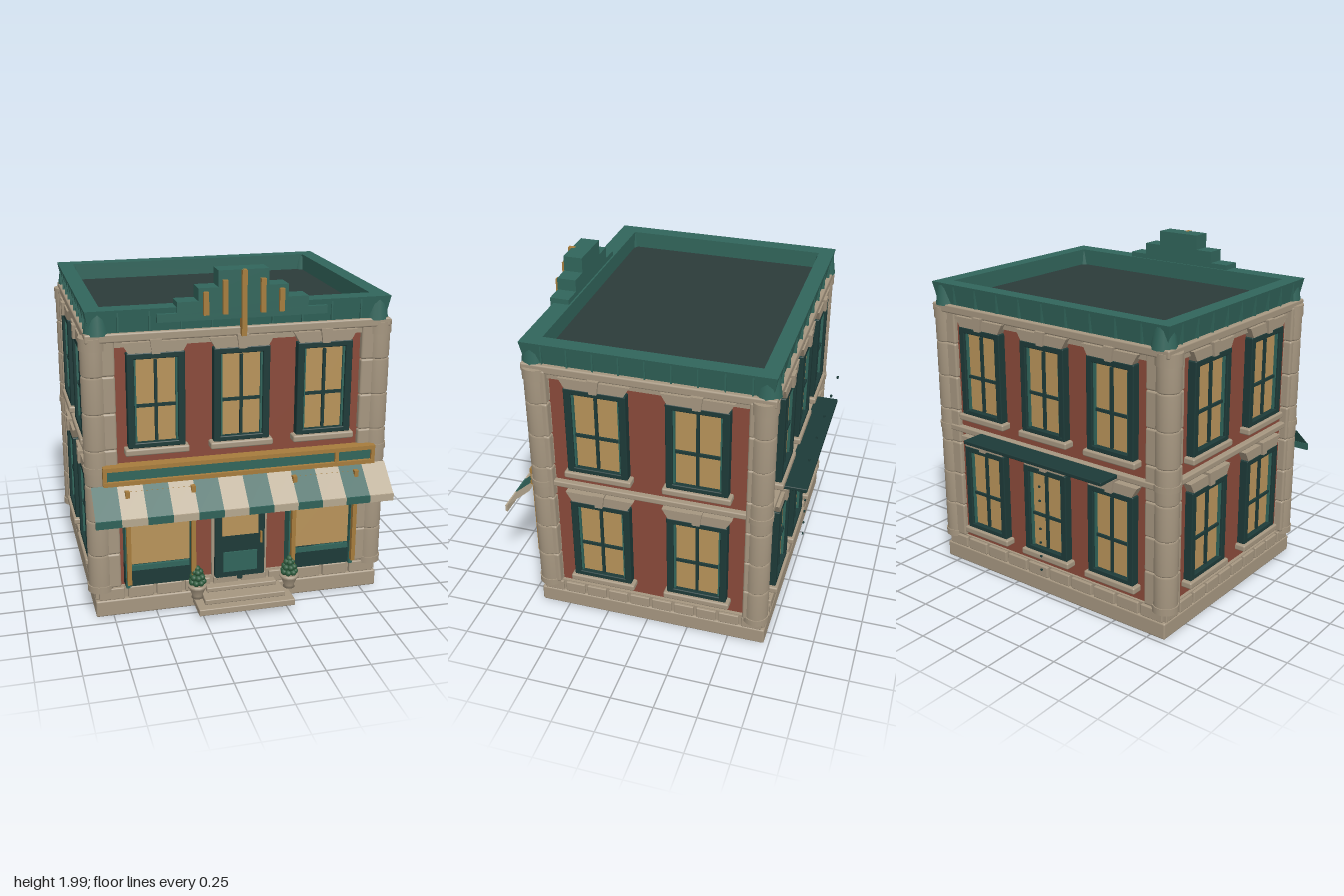
import * as THREE from 'three';
import { RoundedBoxGeometry } from 'three/addons/geometries/RoundedBoxGeometry.js';

const mat = (color, side = THREE.FrontSide) => new THREE.MeshStandardMaterial({ color, side });
const STONE = mat(0xa59680), BRICK = mat(0x8a4a3a), TEAL = mat(0x31655b), DARK = mat(0x1d3a38);
const GLASS = mat(0xb8935a), GOLD = mat(0xa67c3c), ROOF = mat(0x2b3b39), LEAF = mat(0x2c5a3c);

function add(parent, name, geometry, material, x = 0, y = 0, z = 0) {
  const mesh = new THREE.Mesh(geometry, material);
  mesh.name = name;
  mesh.position.set(x, y, z);
  parent.add(mesh);
  return mesh;
}

// Box given by its limits; r rounds the edges
function box(parent, name, m, x0, x1, y0, y1, z0, z1, r = 0) {
  const s = [x1 - x0, y1 - y0, z1 - z0];
  const g = r ? new RoundedBoxGeometry(...s, 2, r) : new THREE.BoxGeometry(...s);
  return add(parent, name, g, m, (x0 + x1) / 2, (y0 + y1) / 2, (z0 + z1) / 2);
}

function group(parent, name, x = 0, y = 0, z = 0, turn = 0) {
  const g = new THREE.Group();
  g.name = name;
  g.position.set(x, y, z);
  g.rotation.y = turn;
  parent.add(g);
  return g;
}

// Window facing +z, standing on its sill at the wall plane
function sashWindow(parent, x, y, z, turn, w) {
  const g = group(parent, 'window', x, y, z, turn), h = 0.54, a = w / 2;
  for (const s of [-1, 1]) {
    const c = s * (a - 0.02);
    box(g, 'windowJamb', DARK, c - 0.02, c + 0.02, 0, h, -0.01, 0.05, 0.006);
    const i = s * (a - 0.045);
    box(g, 'innerJamb', TEAL, i - 0.006, i + 0.006, 0.03, h - 0.03, 0, 0.035);
  }
  box(g, 'windowHead', DARK, -a, a, h - 0.035, h, -0.01, 0.05, 0.006);
  box(g, 'windowFoot', DARK, -a, a, 0, 0.03, -0.01, 0.05, 0.006);
  box(g, 'windowGlass', GLASS, -a + 0.02, a - 0.02, 0.02, h - 0.02, -0.01, 0.02);
  box(g, 'mullion', DARK, -0.008, 0.008, 0.035, h - 0.045, 0.015, 0.035);
  box(g, 'transom', DARK, -a + 0.04, a - 0.04, 0.23, 0.247, 0.015, 0.033);
  box(g, 'windowSill', STONE, -a - 0.02, a + 0.02, -0.04, 0, -0.01, 0.065, 0.01);
  // Splayed lintel
  const b = a - 0.01, t = a + 0.025;
  const shape = new THREE.Shape([[-b, h], [b, h], [t, h + 0.06], [-t, h + 0.06]].map(p => new THREE.Vector2(...p)));
  add(g, 'lintel', new THREE.ExtrudeGeometry(shape, { depth: 0.05, bevelEnabled: false }), STONE);
  const key = new THREE.Shape([[-0.022, h - 0.005], [0.022, h - 0.005], [0.033, h + 0.075], [-0.033, h + 0.075]].map(p => new THREE.Vector2(...p)));
  add(g, 'keystone', new THREE.ExtrudeGeometry(key, { depth: 0.065, bevelEnabled: false }), STONE);
}

// Corner pier of stacked blocks, sx and sz choose the corner
function cornerPier(parent, sx, sz) {
  const g = group(parent, 'cornerPier', 0, 0, -0.022);
  const span = (name, x0, x1, y0, y1, z0, z1) => box(g, name, STONE,
    Math.min(sx * x0, sx * x1), Math.max(sx * x0, sx * x1), y0, y1,
    Math.min(sz * z0, sz * z1), Math.max(sz * z0, sz * z1), 0.012);
  const n = 7, h = 1.47 / n;
  for (let i = 0; i < n; i++) {
    const y = 0.185 + i * h;
    span('frontBlock', 0.7, 0.82, y, y + h, 0.56, 0.69);
    span('sideBlock', 0.7, 0.865, y, y + h, 0.565, 0.65);
    const pts = [[0, 0], [0.062, 0], [0.07, 0.01], [0.07, h - 0.01], [0.062, h], [0, h]];
    add(g, 'roundedBlock', new THREE.LatheGeometry(pts.map(p => new THREE.Vector2(...p)), 20), STONE, sx * 0.812, y, sz * 0.638);
  }
  // Collars at foot, middle and head
  for (const [y, t] of [[0.165, 0.04], [0.895, 0.035], [1.59, 0.07]])
    add(g, 'pierCollar', new THREE.CylinderGeometry(0.076, 0.076, t, 20), STONE, sx * 0.812, y + t / 2, sz * 0.638);
  add(g, 'parapetCorner', new THREE.CylinderGeometry(0.055, 0.072, 0.12, 12), TEAL, sx * 0.788, 1.735, sz * 0.648);
}

// Storefront bay with gold posts
function storefront(parent, x) {
  const g = group(parent, 'storefront', x);
  box(g, 'shopBulkhead', DARK, -0.2, 0.2, 0.2, 0.33, 0.6, 0.7);
  box(g, 'bulkheadPanel', TEAL, -0.17, 0.17, 0.3, 0.33, 0.69, 0.708);
  box(g, 'shopGlass', GLASS, -0.19, 0.19, 0.33, 0.8, 0.6, 0.685);
  box(g, 'shopHead', DARK, -0.195, 0.195, 0.785, 0.81, 0.62, 0.72);
  box(g, 'goldRail', GOLD, -0.195, 0.195, 0.775, 0.8, 0.71, 0.735);
  for (const s of [-1, 1]) {
    box(g, 'shopJamb', TEAL, s * 0.188 - 0.012, s * 0.188 + 0.012, 0.2, 0.8, 0.62, 0.72);
    box(g, 'goldPost', GOLD, s * 0.185 - 0.012, s * 0.185 + 0.012, 0.24, 0.81, 0.735, 0.765);
  }
}

function planter(parent, x) {
  const g = group(parent, 'planter', x, 0.115, 0.755);
  const pot = [[0, 0], [0.035, 0], [0.03, 0.015], [0.048, 0.06], [0.055, 0.065], [0.055, 0.08], [0.04, 0.08], [0, 0.07]];
  add(g, 'pot', new THREE.LatheGeometry(pot.map(p => new THREE.Vector2(...p)), 16), STONE);
  // Leaf balls stacked in shrinking rings
  [[0.1, 0.034, 7], [0.13, 0.028, 6], [0.16, 0.016, 4], [0.18, 0, 1]].forEach(([y, r, n]) => {
    for (let i = 0; i < n; i++) {
      const a = (i / n) * Math.PI * 2 + y * 20;
      add(g, 'leaves', new THREE.IcosahedronGeometry(0.019, 1), LEAF, Math.cos(a) * r, y, Math.sin(a) * r);
    }
  });
}

export function createModel() {
  const root = new THREE.Group();
  root.name = 'cornerShop';

  // Base and walls
  box(root, 'plinth', STONE, -0.85, 0.85, 0.01, 0.11, -0.72, 0.675, 0.01);
  box(root, 'waterTable', STONE, -0.835, 0.835, 0.1, 0.185, -0.7, 0.65);
  box(root, 'brickWalls', BRICK, -0.815, 0.815, 0.18, 1.66, -0.685, 0.635);
  for (let i = 0; i < 10; i++) {
    const x = -0.756 + i * 0.168, z = -0.64 + i * 0.137;
    for (const [z0, z1] of [[-0.718, -0.69], [0.64, 0.67]])
      box(root, 'footBlock', STONE, x - 0.074, x + 0.074, 0.11, 0.18, z0, z1, 0.006);
    for (const s of [-1, 1])
      box(root, 'footBlock', STONE, s * 0.836 - 0.014, s * 0.836 + 0.014, 0.11, 0.18, z - 0.06, z + 0.06, 0.006);
  }
  box(root, 'stringCourse', STONE, -0.85, 0.85, 0.893, 0.93, -0.72, 0.67, 0.008);
  box(root, 'frieze', STONE, -0.835, 0.835, 1.6, 1.65, -0.705, 0.655);
  box(root, 'cornice', STONE, -0.86, 0.86, 1.635, 1.685, -0.73, 0.685, 0.01);
  for (const sx of [-1, 1]) for (const sz of [-1, 1]) cornerPier(root, sx, sz);

  // Windows
  for (const x of [-0.48, 0, 0.48]) {
    sashWindow(root, x, 1.03, 0.635, 0, 0.32);
    for (const y of [0.28, 1.03]) sashWindow(root, x, y, -0.685, Math.PI, 0.32);
  }
  for (const s of [-1, 1]) for (const z of [0.265, -0.31]) for (const y of [0.28, 1.03])
    sashWindow(root, s * 0.815, y, z, s * Math.PI / 2, 0.355);

  // Parapet ring, flared towards the top, and roof deck
  const ring = new THREE.Shape([[-0.855, -0.685], [0.855, -0.685], [0.855, 0.725], [-0.855, 0.725]].map(p => new THREE.Vector2(...p)));
  ring.holes.push(new THREE.Path([[-0.765, -0.58], [-0.765, 0.635], [0.765, 0.635], [0.765, -0.58]].map(p => new THREE.Vector2(...p))));
  const rg = new THREE.ExtrudeGeometry(ring, { depth: 0.13, bevelEnabled: false }).rotateX(-Math.PI / 2);
  const p = rg.attributes.position;
  for (let i = 0; i < p.count; i++) if (p.getY(i) < 0.01 && Math.abs(p.getX(i)) > 0.8)
    p.setXYZ(i, p.getX(i) * 0.972, 0, p.getZ(i) * 0.97);
  rg.computeVertexNormals();
  add(root, 'parapet', rg, TEAL, 0, 1.68, 0);
  box(root, 'roofDeck', ROOF, -0.78, 0.78, 1.66, 1.71, -0.65, 0.6);
  for (let i = -4; i <= 4; i++) {
    for (const z of [-0.714, 0.674]) box(root, 'parapetRib', TEAL, i * 0.17 - 0.004, i * 0.17 + 0.004, 1.69, 1.8, z - 0.009, z + 0.009);
    for (const s of [-1, 1]) box(root, 'parapetRib', TEAL, s * 0.843 - 0.01, s * 0.843 + 0.01, 1.69, 1.8, i * 0.145 - 0.024, i * 0.145 - 0.016);
  }

  // Stepped crest
  for (const [w, y0, y1] of [[0.475, 1.735, 1.78], [0.365, 1.77, 1.84], [0.25, 1.83, 1.91], [0.14, 1.9, 2]])
    box(root, 'crestStep', TEAL, -w, w, y0, y1, 0.59, 0.703);
  for (const [x, y0, y1] of [[-0.21, 1.765, 1.89], [-0.105, 1.765, 1.95], [0, 1.64, 2], [0.105, 1.765, 1.95], [0.21, 1.765, 1.89]])
    box(root, 'crestStrip', GOLD, x - 0.014, x + 0.014, y0, y1, 0.68, 0.725);

  // Fascia sign with gold border
  box(root, 'signBoard', TEAL, -0.78, 0.78, 0.84, 0.93, 0.64, 0.7);
  for (const y of [0.842, 0.928]) box(root, 'signRail', GOLD, -0.79, 0.79, y - 0.012, y + 0.012, 0.65, 0.72);
  for (const x of [-0.78, 0.56, 0.78]) box(root, 'signUpright', GOLD, x - 0.011, x + 0.011, 0.835, 0.935, 0.65, 0.716);

  // Striped awning with valance
  const stripes = [mat(0x2f6158, THREE.DoubleSide), mat(0xb5a78f, THREE.DoubleSide)];
  const rise = 0.14, run = 0.16, w = 1.715 / 12;
  for (let i = 0; i < 12; i++) {
    const x = -0.8575 + (i + 0.5) * w;
    const slope = add(root, 'awningStripe', new THREE.PlaneGeometry(w, Math.hypot(rise, run)), stripes[i % 2], x, 0.76, 0.78);
    slope.rotation.x = -Math.atan2(run, rise);
    box(root, 'awningValance', stripes[i % 2], x - w / 2, x + w / 2, 0.65, 0.692, 0.853, 0.866);
  }

  // Shop front, door and steps
  for (const x of [-0.48, 0.48]) storefront(root, x);
  box(root, 'doorSurround', STONE, -0.165, 0.165, 0.14, 0.82, 0.6, 0.65);
  box(root, 'door', DARK, -0.15, 0.15, 0.15, 0.8, 0.62, 0.67, 0.008);
  box(root, 'doorGlass', GLASS, -0.108, 0.108, 0.44, 0.76, 0.66, 0.676);
  box(root, 'doorPanel', TEAL, -0.102, 0.102, 0.21, 0.335, 0.66, 0.678);
  box(root, 'doorHandle', GOLD, 0.12, 0.13, 0.38, 0.45, 0.665, 0.685);
  box(root, 'lowerStep', STONE, -0.285, 0.285, 0.04, 0.08, 0.65, 0.855, 0.006);
  box(root, 'middleStep', STONE, -0.24, 0.24, 0.08, 0.112, 0.65, 0.805, 0.006);
  box(root, 'upperStep', STONE, -0.21, 0.21, 0.112, 0.14, 0.64, 0.72, 0.006);
  for (const x of [-0.275, 0.275]) planter(root, x);

  // Rear platform with its small fixings
  box(root, 'rearPlatform', DARK, -0.52, 0.515, 0.9, 0.923, -0.862, -0.71, 0.005);
  for (let i = -2; i <= 2; i++) box(root, 'railStud', DARK, i * 0.24 - 0.006, i * 0.24 + 0.006, 1.098, 1.112, -0.86, -0.848);
  for (let i = 0; i < 8; i++) box(root, 'ladderStud', DARK, -0.006, 0.006, 0.194 + i * 0.089, 0.204 + i * 0.089, -0.782, -0.772);
  return root;
}
